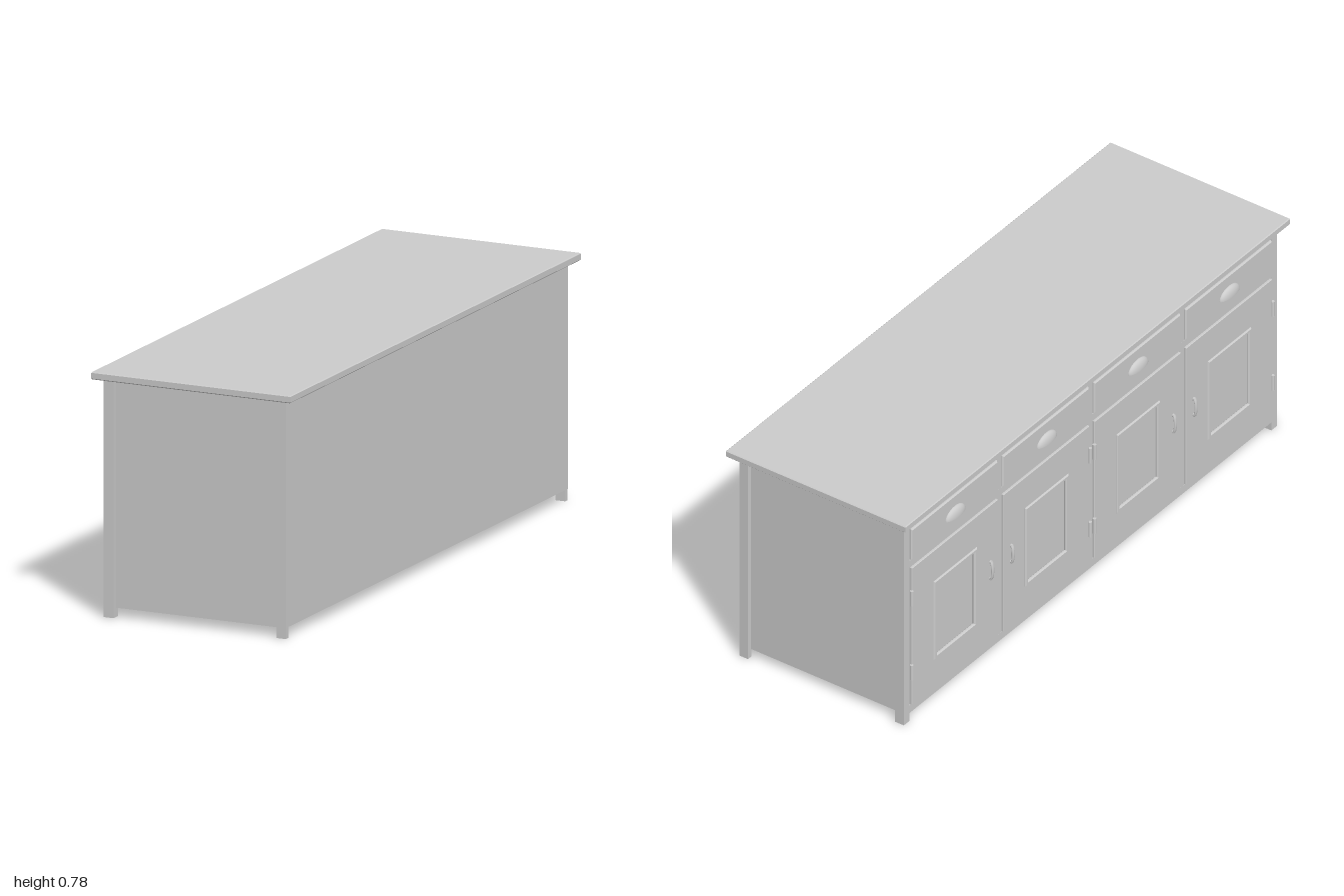
import * as THREE from 'three';

const mat = new THREE.MeshStandardMaterial({ color: 0xcccccc });
const thinMat = new THREE.MeshStandardMaterial({ color: 0xcccccc, side: THREE.DoubleSide });

function add(parent, name, geometry, material = mat) {
  const mesh = new THREE.Mesh(geometry, material);
  mesh.name = name;
  parent.add(mesh);
  return mesh;
}

// Box given by its limits on each axis
function box(parent, name, x0, x1, y0, y1, z0, z1) {
  const mesh = add(parent, name, new THREE.BoxGeometry(x1 - x0, y1 - y0, z1 - z0));
  mesh.position.set((x0 + x1) / 2, (y0 + y1) / 2, (z0 + z1) / 2);
  return mesh;
}

// Bevelled board in the xy plane with an optional rectangular opening [w, h, y]
function board(parent, name, w, h, y, z0, z1, bevel, hole) {
  const rect = (path, rw, rh, ry) => path
    .moveTo(-rw / 2, ry - rh / 2).lineTo(rw / 2, ry - rh / 2)
    .lineTo(rw / 2, ry + rh / 2).lineTo(-rw / 2, ry + rh / 2).closePath();
  const shape = new THREE.Shape();
  rect(shape, w - 2 * bevel, h - 2 * bevel, 0);
  if (hole) {
    const path = new THREE.Path();
    rect(path, hole[0] + 2 * bevel, hole[1] + 2 * bevel, hole[2] - y);
    shape.holes.push(path);
  }
  const geometry = new THREE.ExtrudeGeometry(shape, {
    depth: z1 - z0 - 2 * bevel, bevelEnabled: true,
    bevelSize: bevel, bevelThickness: bevel, bevelSegments: 1,
  });
  const mesh = add(parent, name, geometry);
  mesh.position.set(0, y, z0 + bevel);
  return mesh;
}

// Drawer front with a cup pull
function makeDrawer(w) {
  const drawer = new THREE.Group();
  drawer.name = 'drawer';
  board(drawer, 'drawerFront', w, 0.115, 0.6625, 0.292, 0.318, 0.004);
  const cup = add(drawer, 'cupPull',
    new THREE.SphereGeometry(1, 24, 10, 0, Math.PI, 0, Math.PI / 2), thinMat);
  cup.scale.set(0.05, 0.033, 0.017);
  cup.position.set(0, 0.648, 0.318);
  return drawer;
}

// Panelled door; side = +1 puts the handle on local +x and the hinges on -x
function makeDoor(w, side) {
  const door = new THREE.Group();
  door.name = 'door';
  const pw = 0.225, ph = 0.295, py = 0.3125;
  board(door, 'doorFrame', w, 0.515, 0.3175, 0.292, 0.318, 0.002, [pw - 0.02, ph - 0.02, py]);
  box(door, 'doorPanel', -pw / 2, pw / 2, py - ph / 2, py + ph / 2, 0.295, 0.311);
  board(door, 'panelMoulding', pw, ph, py, 0.311, 0.323, 0.004, [pw - 0.03, ph - 0.03, py]);

  // bowed handle on two feet
  const hx = side * (w / 2 - 0.04);
  const curve = new THREE.CatmullRomCurve3([
    [0.298, 0.321], [0.31, 0.325], [0.332, 0.327], [0.354, 0.325], [0.366, 0.321],
  ].map(([y, z]) => new THREE.Vector3(0, y, z)));
  const bar = add(door, 'handle', new THREE.TubeGeometry(curve, 16, 0.0035, 8));
  bar.scale.x = 2;
  bar.position.x = hx;
  for (const y of [0.302, 0.362]) {
    const foot = add(door, 'handleFoot', new THREE.CylinderGeometry(0.006, 0.006, 0.008, 12));
    foot.rotation.x = Math.PI / 2;
    foot.position.set(hx, y, 0.32);
  }
  for (const y of [0.185, 0.4635]) {
    const hinge = add(door, 'hinge', new THREE.CylinderGeometry(0.006, 0.006, 0.055, 12));
    hinge.position.set(-side * (w / 2 + 0.002), y, 0.319);
  }
  return door;
}

export function createModel() {
  const root = new THREE.Group();
  root.name = 'sideboard';
  // built with the doors facing +z, then turned so they face -x
  const body = new THREE.Group();
  body.name = 'cabinet';
  body.rotation.y = -Math.PI / 2;
  root.add(body);

  // worktop with a thin chamfered upper edge
  const top = board(body, 'worktop', 2, 0.68, 0, 0, 0.024, 0.003);
  top.rotation.x = -Math.PI / 2;
  top.position.set(0, 0.756, 0);

  // corner posts, recessed end panels and full rear panel
  for (const s of [-1, 1]) {
    const ends = (a, b) => (s > 0 ? [a, b] : [-b, -a]);
    box(body, 'frontPost', ...ends(0.94, 0.97), 0, 0.755, 0.278, 0.312);
    box(body, 'rearPost', ...ends(0.952, 0.97), 0, 0.755, -0.31, -0.278);
    box(body, 'endPanel', ...ends(0.942, 0.955), 0.03, 0.755, -0.298, 0.29);
  }
  box(body, 'rearPanel', -0.97, 0.97, 0.035, 0.755, -0.3105, -0.298);

  // face frame
  const pitch = 0.475, opening = 0.452;
  for (const [y0, y1] of [[0.03, 0.058], [0.577, 0.603], [0.722, 0.755]]) {
    box(body, 'rail', -0.94, 0.94, y0, y1, 0.29, 0.312);
  }
  for (const i of [-1, 0, 1]) {
    box(body, 'stile', i * pitch - 0.0115, i * pitch + 0.0115, 0.03, 0.755, 0.29, 0.3118);
  }

  // four bays, each a carcass with a drawer over a door
  for (let i = 0; i < 4; i++) {
    const x = (i - 1.5) * pitch;
    const bay = new THREE.Group();
    bay.name = 'bay';
    bay.position.x = x;
    box(bay, 'carcass', -opening / 2, opening / 2, 0.058, 0.74, -0.09, 0.291);
    bay.add(makeDrawer(opening - 0.004), makeDoor(opening - 0.004, i % 2 ? -1 : 1));
    body.add(bay);
  }
  return root;
}
